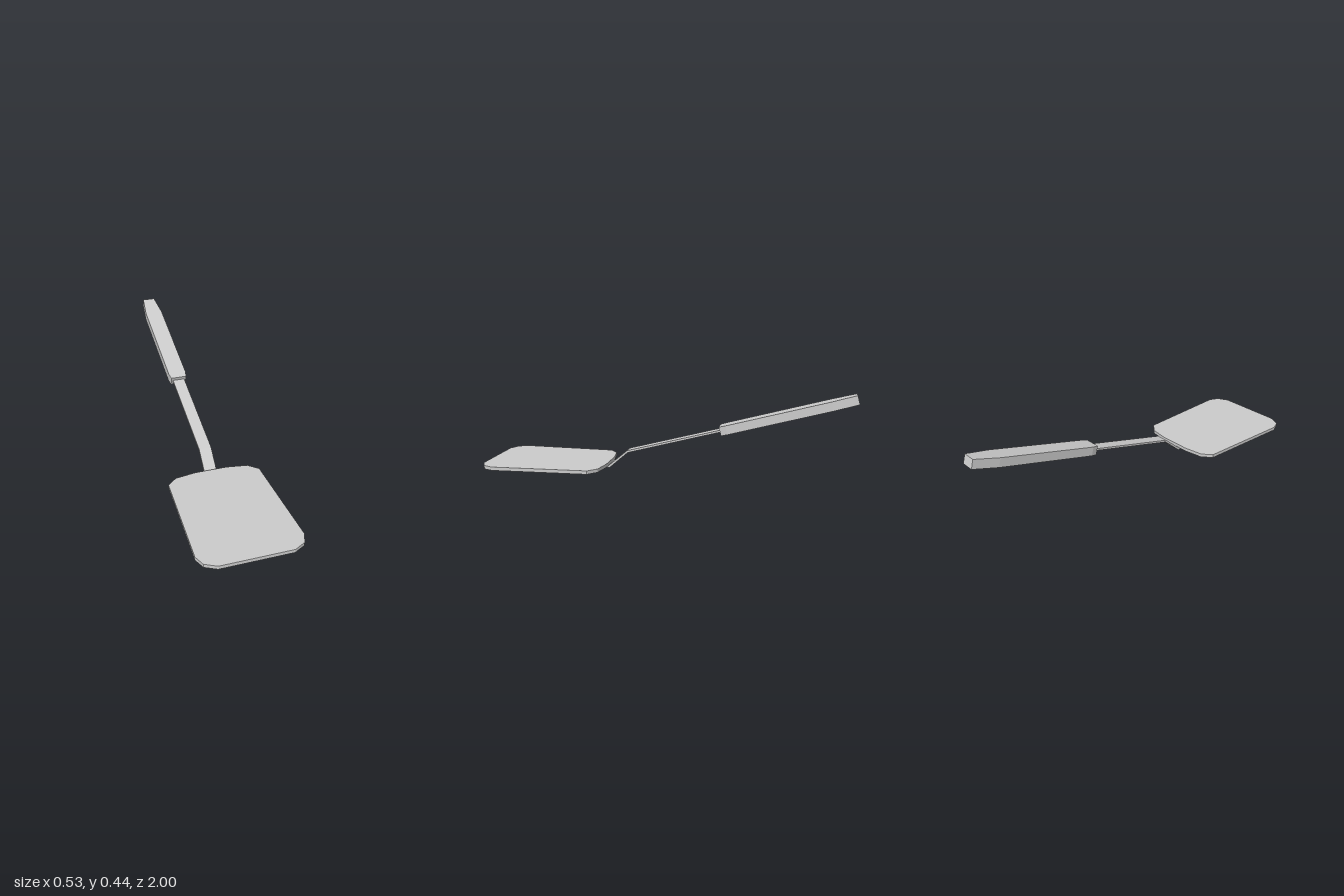
import * as THREE from 'three';

const material = new THREE.MeshStandardMaterial({ color: 0xcccccc, flatShading: true });

// Flat plate: a polygon outline given a thickness
function plate(name, points, depth) {
  const shape = new THREE.Shape(points.map(([x, y]) => new THREE.Vector2(x, y)));
  const geometry = new THREE.ExtrudeGeometry(shape, { depth, bevelEnabled: false });
  const mesh = new THREE.Mesh(geometry, material);
  mesh.name = name;
  return mesh;
}

// Closes a right-hand half outline with its mirror image
function mirrored(half) {
  return [...half, ...half.map(([x, y]) => [-x, y]).reverse()];
}

export function createModel() {
  const group = new THREE.Group();
  group.name = 'spatula';

  // Blade: lies flat, outline y runs towards the back
  const blade = plate('blade', mirrored([
    [0.183, -1], [0.242, -0.97], [0.265, -0.917],
    [0.245, -0.39], [0.195, -0.345], [0.085, -0.328],
  ]), 0.019);
  blade.rotation.x = -Math.PI / 2;
  blade.position.y = 0.014;
  group.add(blade);

  // Shank: bent strip, side profile as (z, y)
  const shankWidth = 0.066;
  const shank = plate('shank', [
    [0.478, 0.015], [0.476, 0.004], [0.468, 0], [0.325, 0], [0.221, 0.09], [-0.31, 0.231],
    [-0.31, 0.242], [0.225, 0.101], [0.327, 0.015],
  ], shankWidth);
  shank.rotation.y = -Math.PI / 2;
  shank.position.x = shankWidth / 2;
  group.add(shank);

  // Handle: thick bar rising to the back, tapered at its far end
  const handle = plate('handle', mirrored([
    [0.043, 0], [0.05, 0.035], [0.05, 0.595], [0.035, 0.731],
  ]), 0.049);
  handle.rotation.x = THREE.MathUtils.degToRad(-75);
  handle.position.set(0, 0.207, -0.294);
  group.add(handle);

  return group;
}
